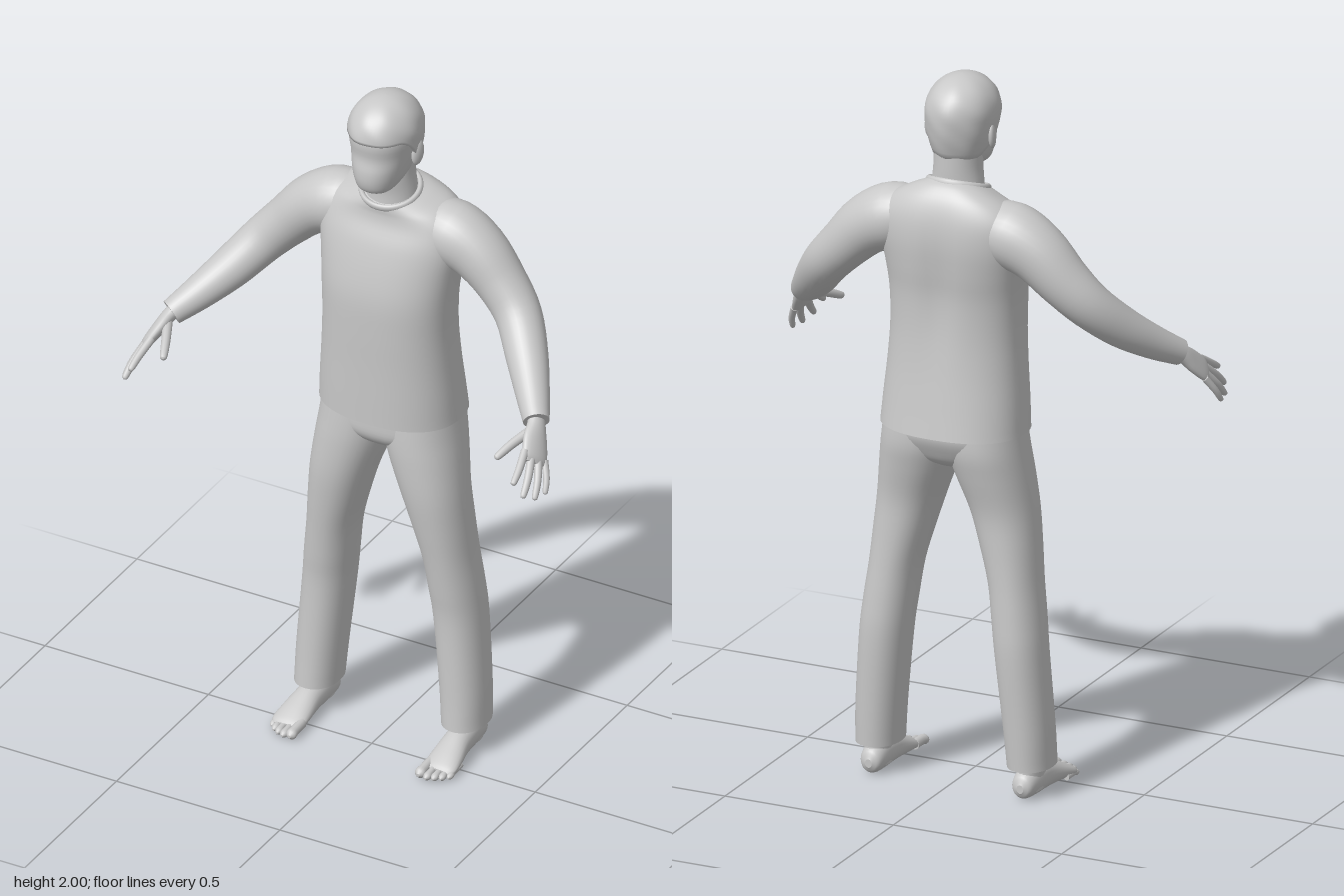
import * as THREE from 'three';

const V = (x, y, z) => new THREE.Vector3(x, y, z);

// Smooth closed loft. Each section: [x, y, z, half width, half depth, shear].
// "side" sets the width direction; "axis" fixes the ring normal (else it follows the path).
function loft(sections, { side = V(1, 0, 0), axis = null, seg = 28, sub = 4, power = 2 } = {}) {
  const centre = new THREE.CatmullRomCurve3(sections.map(s => V(s[0], s[1], s[2])), false, 'catmullrom');
  const size = new THREE.CatmullRomCurve3(sections.map(s => V(s[3], s[4], s[5] || 0)), false, 'catmullrom');
  const rows = (sections.length - 1) * sub;
  const pos = [], index = [];
  const bend = c => Math.sign(c) * Math.abs(c) ** (2 / power);
  for (let i = 0; i <= rows; i++) {
    const p = centre.getPoint(i / rows), r = size.getPoint(i / rows);
    const t = axis ? axis.clone() : centre.getTangent(i / rows);
    const u = side.clone().addScaledVector(t, -side.dot(t)).normalize();
    const v = t.clone().cross(u);
    for (let j = 0; j < seg; j++) {
      const a = j / seg * Math.PI * 2;
      const q = p.clone().addScaledVector(u, bend(Math.cos(a)) * Math.max(r.x, 0.001))
        .addScaledVector(v, bend(Math.sin(a)) * Math.max(r.y, 0.001));
      q.y += r.z * (q.z - p.z);
      pos.push(q.x, q.y, q.z);
    }
  }
  for (let i = 0; i < rows; i++) for (let j = 0; j < seg; j++) {
    const a = i * seg + j, b = i * seg + (j + 1) % seg;
    index.push(a, b, a + seg, b, b + seg, a + seg);
  }
  // End caps with their own corners, so hems stay sharp
  for (const end of [0, 1]) {
    const first = pos.length / 3, row = end * rows * seg * 3;
    const s = sections[end ? sections.length - 1 : 0];
    pos.push(...pos.slice(row, row + seg * 3), s[0], s[1], s[2]);
    for (let j = 0; j < seg; j++) {
      const a = first + j, b = first + (j + 1) % seg;
      index.push(first + seg, end ? a : b, end ? b : a);
    }
  }
  const g = new THREE.BufferGeometry();
  g.setAttribute('position', new THREE.Float32BufferAttribute(pos, 3));
  g.setIndex(index);
  g.computeVertexNormals();
  return g;
}

const UP = V(0, 1, 0);
// Level section from its extents: height, inner x, outer x, front z, back z, shear
const level = (y, x0, x1, front, back, k = 0) =>
  [(x0 + x1) / 2, y, (front + back) / 2, Math.abs(x1 - x0) / 2, (front - back) / 2, k];
// Symmetric level section: height, front z, back z, half width, shear
const mid = (y, front, back, w, k) => level(y, -w, w, front, back, k);

// Hair shell whose lower edge drops from fringe to sideburns to nape
function hairGeometry() {
  const rows = 22, seg = 56, pos = [], index = [];
  for (let i = 0; i <= rows; i++) for (let j = 0; j < seg; j++) {
    const a = j / seg * Math.PI * 2, f = Math.cos(a);
    const low = 1.785 + 0.117 * THREE.MathUtils.smoothstep(f, -0.55, 0.6);
    const t = Math.min(i / (rows - 1), 1);
    const y = 2 - (2 - low) * (1 - Math.cos(t * Math.PI / 2));
    const d = (y - 1.9) / 0.1;
    let r = d > 0 ? Math.sqrt(Math.max(0, 1 - d * d)) : 1 - d * d * 0.16;
    r *= 1 + 0.014 * Math.sin(a * 7 + y * 40) * Math.sin(y * 55);
    if (i === rows) r *= 0.86;
    pos.push(Math.sin(a) * r * 0.099, y, -0.077 + f * r * 0.119);
  }
  for (let i = 0; i < rows; i++) for (let j = 0; j < seg; j++) {
    const a = i * seg + j, b = i * seg + (j + 1) % seg;
    index.push(a, a + seg, b, b, a + seg, b + seg);
  }
  const g = new THREE.BufferGeometry();
  g.setAttribute('position', new THREE.Float32BufferAttribute(pos, 3));
  g.setIndex(index);
  g.computeVertexNormals();
  return g;
}

export function createModel() {
  const model = new THREE.Group();
  const grey = new THREE.MeshStandardMaterial({ color: 0xc8c8c8, side: THREE.DoubleSide });
  grey.name = 'plain grey';
  const add = (name, geometry, parent = model) => {
    const m = new THREE.Mesh(geometry, grey);
    m.name = name;
    parent.add(m);
    return m;
  };

  // Head, neck and hair
  add('head', loft([
    mid(1.733, 0.0, -0.05, 0.025), mid(1.748, 0.025, -0.09, 0.05), mid(1.775, 0.036, -0.15, 0.066),
    mid(1.81, 0.037, -0.17, 0.076), mid(1.85, 0.03, -0.175, 0.084), mid(1.9, 0.034, -0.18, 0.09),
    mid(1.95, 0.015, -0.165, 0.076), mid(1.98, -0.03, -0.12, 0.04),
  ], { axis: UP, seg: 40, power: 2.2 }));
  add('neck', loft([
    mid(1.64, -0.04, -0.18, 0.08), mid(1.7, -0.045, -0.172, 0.073),
    mid(1.75, -0.04, -0.172, 0.067), mid(1.8, -0.04, -0.172, 0.066),
  ], { axis: UP }));
  add('hair', hairGeometry());

  // Sweater body with a shallow groove along the spine
  const body = loft([
    mid(1.02, 0.03, -0.273, 0.205), mid(1.1, 0.031, -0.26, 0.2), mid(1.2, 0.032, -0.246, 0.192),
    mid(1.3, 0.034, -0.238, 0.187), mid(1.4, 0.033, -0.238, 0.19), mid(1.48, 0.02, -0.246, 0.199),
    mid(1.56, -0.002, -0.25, 0.212), mid(1.62, -0.025, -0.243, 0.208, -0.05),
    mid(1.66, -0.032, -0.225, 0.172, -0.18), mid(1.685, -0.032, -0.2, 0.12, -0.3),
    mid(1.698, -0.032, -0.178, 0.084, -0.35),
  ], { axis: UP, seg: 56, power: 2.35 });
  const p = body.attributes.position;
  for (let i = 0; i < p.count; i++) {
    const x = p.getX(i), y = p.getY(i), z = p.getZ(i);
    if (z < -0.15) p.setZ(i, z + 0.014 * Math.exp(-((x / 0.045) ** 2) - ((y - 1.42) / 0.17) ** 2));
  }
  body.computeVertexNormals();
  add('sweaterBody', body);
  const collar = add('collar', new THREE.TorusGeometry(0.08, 0.008, 10, 48));
  collar.rotation.x = Math.PI / 2 + 0.34;
  collar.scale.set(1.02, 0.95, 1.4);
  collar.position.set(0, 1.695, -0.105);

  // Seat of the trousers
  add('trouserSeat', loft([
    mid(0.915, -0.05, -0.18, 0.05), mid(0.935, -0.02, -0.212, 0.13), mid(0.965, -0.002, -0.232, 0.19),
    mid(1.01, 0, -0.25, 0.2), mid(1.06, 0, -0.245, 0.185),
  ], { axis: UP, seg: 40, power: 2.3 }));

  for (const s of [1, -1]) {
    const sideName = s > 0 ? 'left' : 'right';
    const flip = list => list.map(([x, ...rest]) => [x * s, ...rest]);
    const part = name => sideName + name;

    const ear = add(part('Ear'), new THREE.SphereGeometry(1, 18, 14));
    ear.scale.set(0.011, 0.037, 0.021);
    ear.position.set(0.091 * s, 1.84, -0.088);
    ear.rotation.set(-0.15, 0.3 * -s, 0);

    // Trouser leg
    add(part('TrouserLeg'), loft(flip([
      level(0.085, 0.163, 0.287, -0.035, -0.2), level(0.2, 0.153, 0.284, -0.041, -0.206),
      level(0.4, 0.132, 0.27, -0.045, -0.215), level(0.5, 0.12, 0.26, -0.036, -0.212),
      level(0.6, 0.106, 0.247, -0.025, -0.206), level(0.7, 0.078, 0.238, -0.012, -0.203),
      level(0.8, 0.046, 0.228, -0.001, -0.205), level(0.9, 0.008, 0.216, 0.002, -0.226),
      level(0.97, -0.01, 0.206, 0, -0.24), level(1.04, -0.01, 0.196, -0.005, -0.24),
    ]), { axis: UP, seg: 36, power: 2.15 }));

    // Bare foot
    const foot = new THREE.Group();
    foot.name = part('Foot');
    model.add(foot);
    add('ankle', loft(flip([
      level(0.02, 0.192, 0.26, -0.075, -0.18), level(0.07, 0.192, 0.262, -0.07, -0.178),
      level(0.14, 0.19, 0.264, -0.08, -0.172),
    ]), { axis: UP, seg: 20 }), foot);
    add('sole', loft(flip([
      [0.225, 0.034, -0.193, 0.01, 0.012], [0.225, 0.038, -0.178, 0.03, 0.034],
      [0.226, 0.045, -0.13, 0.037, 0.045], [0.228, 0.04, -0.06, 0.039, 0.04],
      [0.231, 0.028, 0, 0.046, 0.028], [0.233, 0.018, 0.042, 0.047, 0.017], [0.232, 0.014, 0.06, 0.036, 0.009],
    ]), { axis: V(0, 0, 1), seg: 24 }), foot);
    [[0.197, 0.1, 0.015], [0.219, 0.101, 0.011], [0.238, 0.094, 0.0105], [0.255, 0.083, 0.01], [0.27, 0.067, 0.0095]]
      .forEach(([x, tip, r], i) => add('toe' + (i + 1), loft(flip([
        [x, r + 0.004, tip - 0.07, r * 0.9, r], [x, r + 0.003, tip - 0.03, r * 0.9, r * 0.9],
        [x, r, tip - 0.011, r, r * 0.95], [x, r - 0.001, tip, r * 0.3, r * 0.3],
      ]), { axis: V(0, 0, 1), seg: 12 }), foot));

    // Sleeve from shoulder through the bent elbow to the cuff
    add(part('Sleeve'), loft(flip([
      [0.09, 1.595, -0.135, 0.07, 0.07], [0.17, 1.588, -0.137, 0.09, 0.09], [0.25, 1.55, -0.137, 0.084, 0.082],
      [0.325, 1.478, -0.13, 0.073, 0.07], [0.39, 1.41, -0.105, 0.063, 0.064], [0.452, 1.338, -0.04, 0.056, 0.058],
      [0.51, 1.28, 0.033, 0.046, 0.047], [0.558, 1.238, 0.097, 0.036, 0.036],
    ]), { side: V(0, 0.6, 0.8), seg: 32 }));

    // Hand: palm, four fingers and thumb
    const hand = new THREE.Group();
    hand.name = part('Hand');
    model.add(hand);
    const across = V(0.035 * s, -0.04, -0.045).normalize();
    add('palm', loft(flip([
      [0.54, 1.254, 0.073, 0.026, 0.022], [0.56, 1.234, 0.1, 0.027, 0.02], [0.574, 1.207, 0.132, 0.038, 0.019],
      [0.592, 1.174, 0.166, 0.041, 0.015], [0.598, 1.162, 0.18, 0.034, 0.008],
    ]), { side: across, seg: 20 }), hand);
    const digit = (name, a, b, c, r) => add(name, loft(flip([
      [...a, r * 1.1, r * 1.1], [...b, r, r], [...c.map((q, i) => q * 0.85 + b[i] * 0.15), r * 0.8, r * 0.8],
      [...c, r * 0.25, r * 0.25],
    ]), { side: across, seg: 12 }), hand);
    digit('indexFinger', [0.572, 1.196, 0.183], [0.582, 1.166, 0.234], [0.586, 1.142, 0.275], 0.0105);
    digit('middleFinger', [0.587, 1.18, 0.174], [0.603, 1.14, 0.222], [0.61, 1.102, 0.264], 0.0108);
    digit('ringFinger', [0.6, 1.166, 0.16], [0.619, 1.124, 0.198], [0.628, 1.084, 0.232], 0.0102);
    digit('littleFinger', [0.61, 1.156, 0.144], [0.629, 1.117, 0.168], [0.637, 1.082, 0.19], 0.009);
    digit('thumb', [0.556, 1.222, 0.122], [0.53, 1.202, 0.178], [0.508, 1.178, 0.232], 0.0125);
  }
  return model;
}
